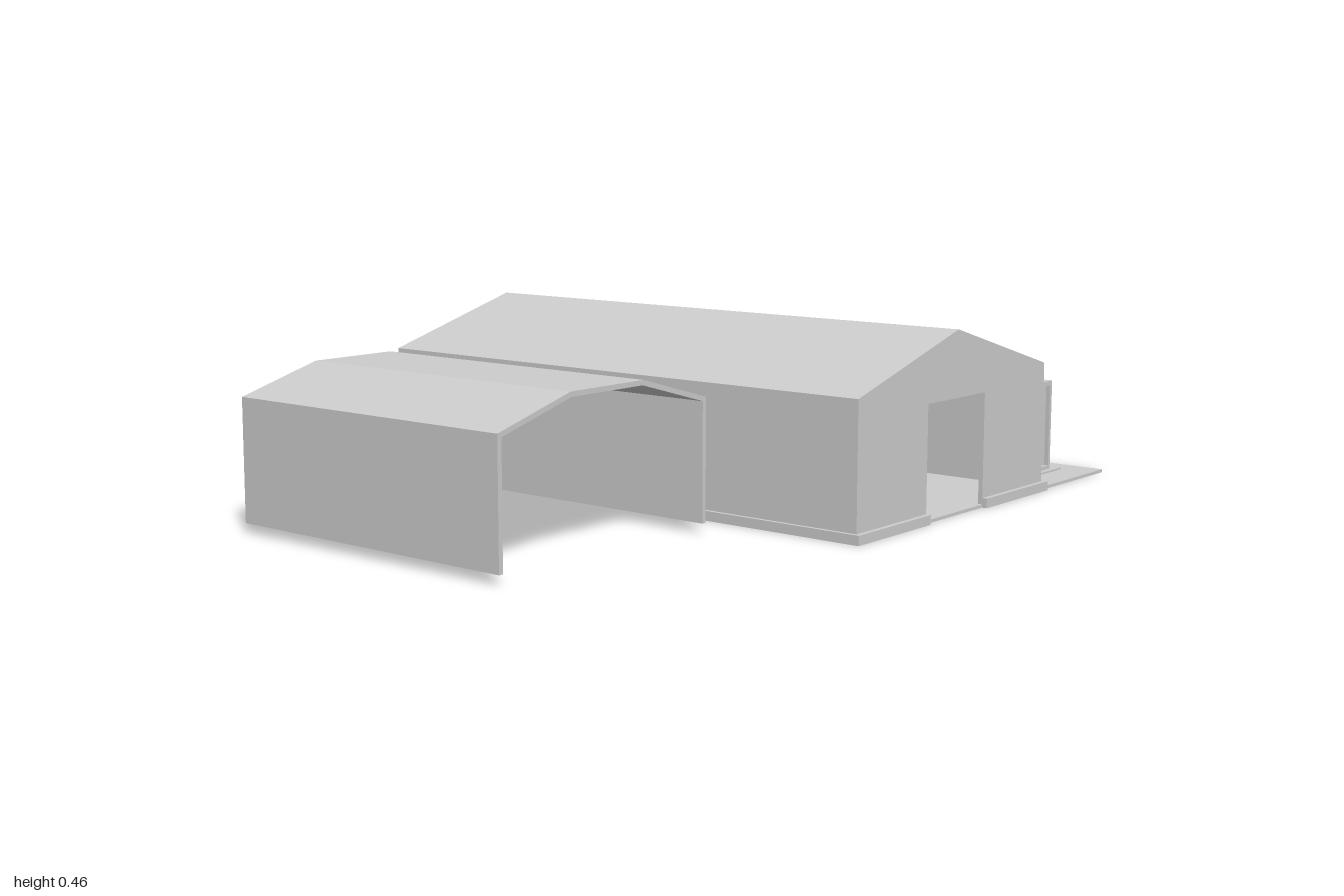
import * as THREE from 'three';

export function createModel() {
  const model = new THREE.Group();
  const mat = new THREE.MeshStandardMaterial({ color: 0xcccccc, flatShading: true, side: THREE.DoubleSide });

  const add = (name, geo, parent = model) => {
    const mesh = new THREE.Mesh(geo, mat);
    mesh.name = name;
    parent.add(mesh);
    return mesh;
  };
  // Box given by its limits on each axis
  const box = (name, x0, x1, y0, y1, z0, z1, parent) => {
    const geo = new THREE.BoxGeometry(x1 - x0, y1 - y0, z1 - z0);
    geo.translate((x0 + x1) / 2, (y0 + y1) / 2, (z0 + z1) / 2);
    return add(name, geo, parent);
  };
  // Profile in x,y extruded from z0 to z1
  const extrude = (name, points, z0, z1, parent) => {
    const shape = new THREE.Shape(points.map(([x, y]) => new THREE.Vector2(x, y)));
    const geo = new THREE.ExtrudeGeometry(shape, { depth: z1 - z0, bevelEnabled: false });
    geo.translate(0, 0, z0);
    return add(name, geo, parent);
  };
  const group = (name) => {
    const g = new THREE.Group();
    g.name = name;
    model.add(g);
    return g;
  };

  // Ground slab under the barn and the yard beside it
  box('groundSlab', -0.2, 1, 0, 0.008, -0.755, 0.755);

  // Main barn: walls and roof as one arch, with gable ends
  const barn = group('barn');
  const L = -0.19, R = 0.66, M = 0.235, eave = 0.335, ridge = 0.457, Z = 0.755, T = 0.012;
  const doorL = 0.105, doorR = 0.365, doorTop = 0.29;
  const floorY = 0.008;
  extrude('barnWallsAndRoof', [
    [L, floorY], [L, eave], [M, ridge], [R, eave], [R, floorY],
    [R - T, floorY], [R - T, eave - T], [M, ridge - T], [L + T, eave - T], [L + T, floorY],
  ], -Z, Z, barn);
  extrude('barnBackGable',
    [[L, floorY], [R, floorY], [R, eave], [M, ridge], [L, eave]], -Z, -Z + T, barn);
  extrude('barnFrontGable', [
    [L, floorY], [doorL, floorY], [doorL, doorTop], [doorR, doorTop], [doorR, floorY],
    [R, floorY], [R, eave], [M, ridge], [L, eave],
  ], Z - T, Z, barn);

  // Low curb around the barn, interrupted at the doorway
  const curb = group('curb');
  const CL = -0.2, CR = 0.672, CZ = 0.768, CH = 0.024;
  box('curbLeft', CL, L, 0, CH, -CZ, CZ, curb);
  box('curbRight', R, CR, 0, CH, -CZ, CZ, curb);
  box('curbBack', L, R, 0, CH, -CZ, -Z, curb);
  box('curbFrontLeft', L, doorL, 0, CH, Z, CZ, curb);
  box('curbFrontRight', doorR, R, 0, CH, Z, CZ, curb);

  // Open-fronted side shed with a four-point roof
  const shed = group('shed');
  const S = 0.345, cx = -0.655, base = 0.024, SZ = 0.412;
  const outer = [[-S, base], [-S, 0.322], [-0.12, 0.385], [0.12, 0.385], [S, 0.322], [S, base]];
  const inner = [[S - T, base], [S - T, 0.313], [0.118, 0.373], [-0.118, 0.373], [-S + T, 0.313], [-S + T, base]];
  extrude('shedWallsAndRoof', [...outer, ...inner], -SZ, SZ, shed);
  extrude('shedBackWall', outer, -SZ, -SZ + T, shed);
  shed.position.x = cx;

  // Storage container on a thin pad, with a barred front
  const container = group('container');
  box('containerPad', 0.672, 0.93, 0.006, 0.013, 0.01, 0.668, container);
  const x0 = 0.678, x1 = 0.895, y0 = 0.013, y1 = 0.255, front = 0.652, recess = 0.64;
  box('containerBody', x0, x1, y0, y1, 0.052, recess, container);
  box('frontTopRail', x0, x1, y1 - 0.012, y1, recess, front, container);
  box('frontBottomRail', x0, x1, y0, y0 + 0.01, recess, front, container);
  const bars = 5, barW = 0.01;
  for (let i = 0; i < bars; i++) {
    const x = x0 + (i / (bars - 1)) * (x1 - x0 - barW);
    box('frontBar', x, x + barW, y0 + 0.01, y1 - 0.012, recess, front, container);
  }

  // Two round storage tanks
  for (const z of [-0.148, -0.476]) {
    add('tank', new THREE.CylinderGeometry(0.145, 0.145, 0.287, 12)).position.set(0.832, 0.1515, z);
  }

  return model;
}
